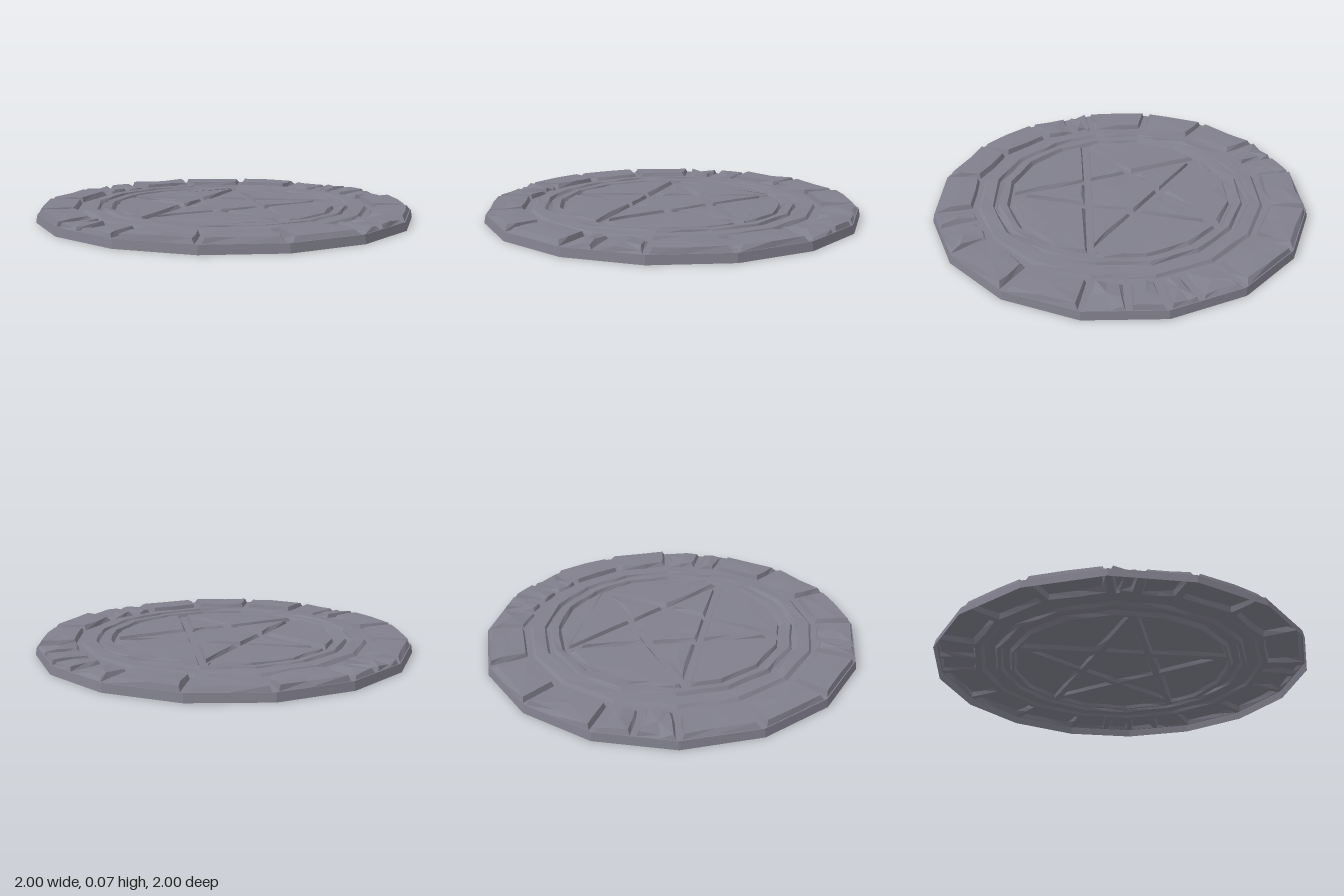
import * as THREE from 'three';

const RIM_FLOOR = 0.042, DISC_FLOOR = 0.036;
const SIDES = 16;

let seed = 7;
const rnd = () => ((seed = (seed * 16807) % 2147483647) / 2147483647);
const jit = (a) => (rnd() * 2 - 1) * a;
const V = (x, z) => new THREE.Vector2(x, z);

// Sixteen-sided outline with a midpoint on every edge
const ring = (r) => Array.from({ length: SIDES * 2 }, (_, i) => {
  const a = (i * Math.PI) / SIDES, k = i % 2 ? Math.cos(Math.PI / SIDES) : 1;
  return V(Math.cos(a) * r * k, Math.sin(a) * r * k);
});
const lift = (pts, y) => pts.map((p) => [p.x, typeof y === 'function' ? y() : y, p.y]);

// Band of faces between an outer and an inner loop
function strip(out, outer, inner) {
  const n = outer.length;
  for (let i = 0; i < n; i++) {
    const j = (i + 1) % n;
    out.push(inner[i], outer[j], outer[i], inner[i], inner[j], outer[j]);
  }
}

// Flat groove floor with openings where the raised stones stand
function floorWithHoles(out, outline, holes, y) {
  const all = [outline, ...holes].flat();
  for (const [a, b, c] of THREE.ShapeUtils.triangulateShape(outline, holes)) {
    const A = all[a], B = all[b], C = all[c];
    const up = (B.x - A.x) * (C.y - A.y) - (B.y - A.y) * (C.x - A.x) < 0;
    for (const p of up ? [A, B, C] : [A, C, B]) out.push([p.x, y, p.y]);
  }
}

// Raised stone: worn bevel from the floor and a slightly faceted top
function stone(out, pts, low, high, bevel, wear) {
  const n = pts.length;
  const edgeNormal = (a, b) => V(a.y - b.y, b.x - a.x).normalize();
  const top = pts.map((p, i) => {
    const n1 = edgeNormal(pts[(i + n - 1) % n], p), n2 = edgeNormal(p, pts[(i + 1) % n]);
    const b = bevel * (0.7 + 1.3 * rnd() ** 3);
    const m = n1.clone().add(n2).multiplyScalar(b / Math.max(0.3, 1 + n1.dot(n2)));
    return [p.x + m.x, high - wear * rnd() ** 2, p.y + m.y];
  });
  strip(out, lift(pts, low), top);
  const c = [0, 1, 2].map((k) => top.reduce((s, p) => s + p[k], 0) / n);
  c[1] = high;
  for (let i = 0; i < n; i++) out.push(c, top[(i + 1) % n], top[i]);
}

// Part of a convex outline on one side of a line, moved in by a gap
function clip(pts, nx, nz, d) {
  const res = [];
  pts.forEach((p, i) => {
    const q = pts[(i + 1) % pts.length];
    const a = p.x * nx + p.y * nz - d, b = q.x * nx + q.y * nz - d;
    if (a >= 0) res.push(p);
    if (a * b < 0) res.push(p.clone().lerp(q, a / (a - b)));
  });
  return res;
}

// Drop very short edges and break up long ones
function tidy(pts) {
  const kept = [];
  for (const p of pts) if (!kept.some((q) => q.distanceTo(p) < 0.014)) kept.push(p);
  return kept.flatMap((p, i) => {
    const q = kept[(i + 1) % kept.length];
    return p.distanceTo(q) > 0.15 ? [p, p.clone().lerp(q, 0.35 + 0.3 * rnd())] : [p];
  });
}

function toMesh(name, corners, material) {
  const g = new THREE.BufferGeometry();
  g.setAttribute('position', new THREE.Float32BufferAttribute(corners.flat(), 3));
  g.computeVertexNormals();
  const m = new THREE.Mesh(g, material);
  m.name = name;
  return m;
}

export function createModel() {
  seed = 7;
  const group = new THREE.Group();
  group.name = 'stoneSeal';
  const stoneGrey = new THREE.MeshStandardMaterial({
    color: 0x807f8c, flatShading: true, side: THREE.DoubleSide,
  });
  stoneGrey.name = 'stoneGrey';
  const add = (name, corners) => group.add(toMesh(name, corners, stoneGrey));

  // Outer wall, open underneath
  const wall = [];
  strip(wall, lift(ring(1), 0), lift(ring(0.992), RIM_FLOOR));
  add('outerWall', wall);

  // Rim stones; the cracked ones are split in two
  const corner = (r, k) => V(Math.cos((k * Math.PI) / 8) * r, Math.sin((k * Math.PI) / 8) * r);
  const along = (r, k, t) => corner(r, k).lerp(corner(r, k + 1), t);
  const cracked = [1, 5, 9, 13, 14];
  const rimStones = [], rimHoles = [];
  for (let k = 0; k < SIDES; k++) {
    const worn = cracked.includes(k);
    const cut = 0.38 + 0.24 * rnd();
    const spans = worn ? [[0, cut], [cut, 1]] : [[0, 1]];
    for (const [s, e] of spans) {
      const g = worn ? 0.036 : 0.04, gi = g * 1.3;
      const skew = worn ? 0.03 : 0.008;
      const pts = [
        along(0.987, k, s + g), along(0.987, k, (s + e) / 2 + jit(0.08)), along(0.987, k, e - g),
        along(0.9 + jit(0.03), k, e - g - rnd() * skew),
        along(0.8 + jit(skew / 2), k, e - gi - rnd() * skew),
        along(0.795 + jit(0.004), k, (s + e) / 2 + jit(0.06)),
        along(0.8 + jit(skew / 2), k, s + gi + rnd() * skew),
        along(0.9 + jit(0.03), k, s + g + rnd() * skew),
      ];
      rimHoles.push(pts);
      stone(rimStones, pts, RIM_FLOOR, 0.07 - (worn ? 0.004 : 0), 0.011, worn ? 0.018 : 0.007);
    }
  }
  add('rimStones', rimStones);

  // Joints between the rim stones
  const rimFloor = [];
  floorWithHoles(rimFloor, ring(0.992), [ring(0.765), ...rimHoles], RIM_FLOOR);
  add('rimJoints', rimFloor);

  // Two worn raised bands, stepping in towards the disc
  const profile = [[0.765, RIM_FLOOR], [0.75, 0.057], [0.69, 0.059], [0.677, 0.043],
    [0.662, 0.042], [0.65, 0.058], [0.615, 0.056], [0.6, DISC_FLOOR]];
  const loops = profile.map(([r, y], i) => {
    const end = i === 0 || i === profile.length - 1;
    const pts = ring(r).map((p) => p.multiplyScalar(end ? 1 : 1 + jit(0.007)));
    return lift(pts, end ? y : () => y + jit(0.003));
  });
  const bands = [];
  for (let i = 1; i < loops.length; i++) strip(bands, loops[i - 1], loops[i]);
  add('innerBands', bands);

  // Disc divided by the five lines of a star
  let panels = [ring(0.588)];
  const distance = 0.57 * Math.cos((72 * Math.PI) / 180), gap = 0.017;
  for (let i = 0; i < 5; i++) {
    const a = -Math.PI / 2 + (i * 2 * Math.PI) / 5, nx = Math.cos(a), nz = Math.sin(a);
    panels = panels.flatMap((p) => [
      clip(p, nx, nz, distance + gap), clip(p, -nx, -nz, -distance + gap),
    ]).filter((p) => p.length > 2);
  }
  panels = panels.filter((p) => Math.abs(THREE.ShapeUtils.area(p)) > 0.004).map(tidy);
  const discStones = [];
  for (const p of panels) stone(discStones, p, DISC_FLOOR, 0.056 + jit(0.001), 0.01, 0.005);
  add('discStones', discStones);

  // Carved star grooves
  const grooves = [];
  floorWithHoles(grooves, ring(0.6), panels, DISC_FLOOR);
  add('starGrooves', grooves);

  return group;
}
